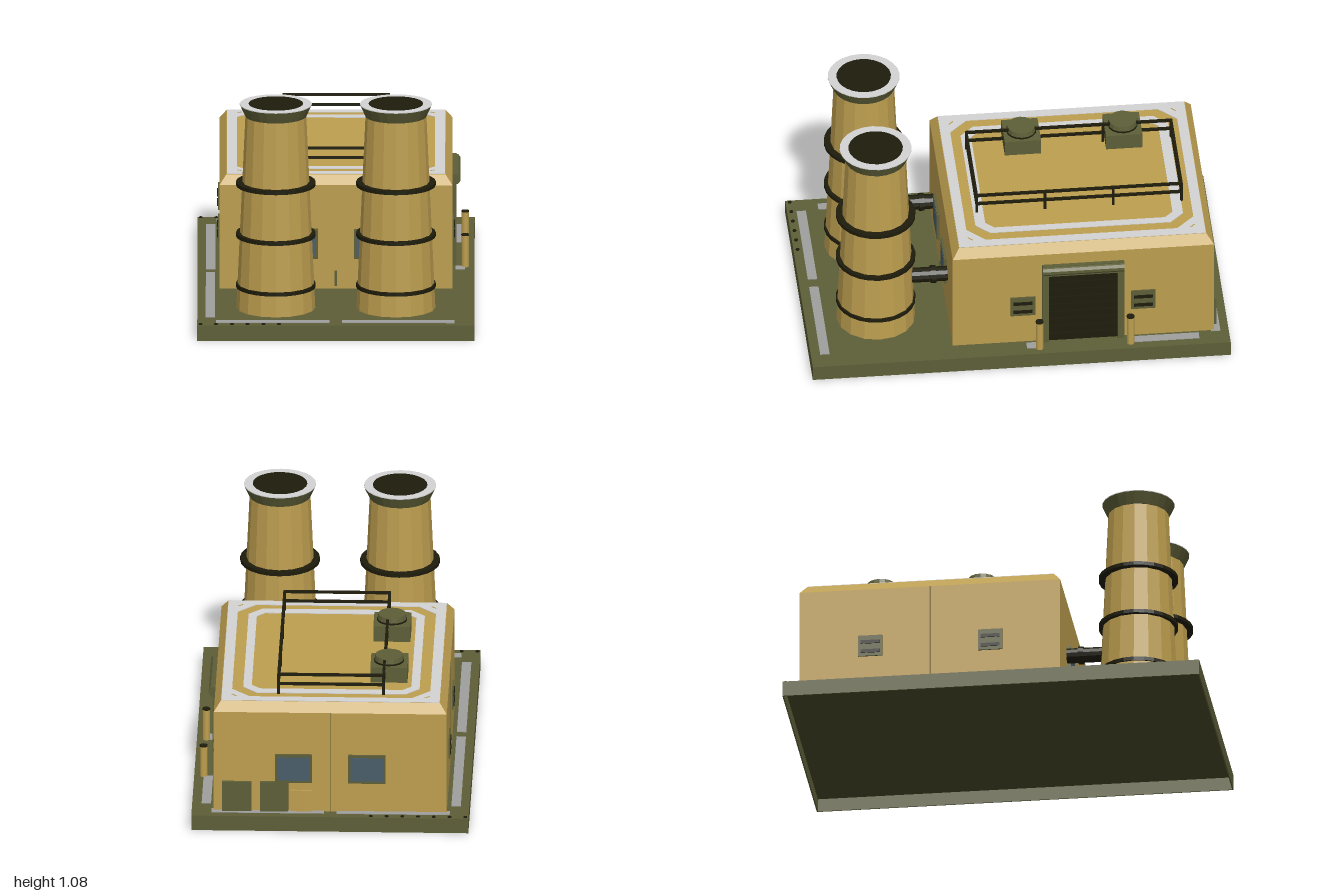
import * as THREE from 'three';

export function createModel() {
  const root = new THREE.Group();
  const mat = (name, color) => {
    const m = new THREE.MeshStandardMaterial({ color, flatShading: true });
    m.name = name;
    return m;
  };
  const tan = mat('tan wall', 0xbd9e4f);
  const olive = mat('olive metal', 0x5d5e37);
  const dark = mat('dark metal', 0x1e1c0b);
  const pale = mat('pale trim', 0xd3d3d3);
  const grey = mat('grey paint', 0x9e9e9d);
  const glass = mat('window glass', 0x4a5d69);
  const under = mat('underside', 0x484829);

  const add = (name, geo, m, x = 0, y = 0, z = 0, parent = root) => {
    const mesh = new THREE.Mesh(geo, m);
    mesh.name = name;
    mesh.position.set(x, y, z);
    parent.add(mesh);
    return mesh;
  };
  // box given by its minimum and maximum corners
  const box = (name, m, x0, x1, y0, y1, z0, z1, parent = root) =>
    add(name, new THREE.BoxGeometry(x1 - x0, y1 - y0, z1 - z0), m,
      (x0 + x1) / 2, (y0 + y1) / 2, (z0 + z1) / 2, parent);
  const cyl = (name, m, rTop, rBottom, y0, y1, x, z, sides = 16, parent = root) =>
    add(name, new THREE.CylinderGeometry(rTop, rBottom, y1 - y0, sides), m, x, (y0 + y1) / 2, z, parent);

  // Ground slab, hollow underneath
  const FLOOR = 0.075;
  box('baseSlab', olive, -0.66, 0.66, 0.068, FLOOR, -1, 1);
  box('baseUnderside', under, -0.654, 0.654, 0.064, 0.068, -0.994, 0.994);
  for (const s of [-1, 1]) {
    add('baseSideWall', new THREE.BoxGeometry(0.006, 0.068, 2), olive, s * 0.657, 0.034, 0);
    add('baseEndWall', new THREE.BoxGeometry(1.308, 0.068, 0.006), olive, 0, 0.034, s * 0.997);
  }

  // Painted ground stripes
  for (const [x0, x1, z0, z1] of [
    [-0.62, -0.575, -0.855, -0.03], [-0.62, -0.575, 0.025, 0.85],
    [-0.57, -0.03, 0.91, 0.955], [0.03, 0.565, 0.91, 0.955],
    [-0.57, -0.03, -0.96, -0.915], [0.03, 0.565, -0.96, -0.915],
    [0.57, 0.615, -0.855, -0.53], [0.57, 0.615, -0.1, -0.03],
  ]) box('groundStripe', grey, x0, x1, FLOOR, FLOOR + 0.003, z0, z1);

  // Bolts along the slab edges
  for (let i = 0; i < 7; i++) {
    const x = -0.645 + i * 0.075;
    if (i < 6) cyl('slabBolt', dark, 0.009, 0.009, FLOOR, FLOOR + 0.005, x, 0.98, 8);
    cyl('slabBolt', dark, 0.009, 0.009, FLOOR, FLOOR + 0.005, x, -0.985, 8);
  }

  // Main hall with a bevelled roof edge
  const CZ = -0.305, HX = 0.555, HZ = 0.625, ROOF = 0.63;
  box('hallWalls', tan, -HX, HX, FLOOR, 0.585, CZ - HZ, CZ + HZ);
  const bevel = new THREE.BoxGeometry(HX * 2, ROOF - 0.585, HZ * 2);
  const p = bevel.attributes.position;
  for (let i = 0; i < p.count; i++) {
    if (p.getY(i) > 0) p.setXYZ(i, p.getX(i) * 0.522 / HX, p.getY(i), p.getZ(i) * 0.592 / HZ);
  }
  bevel.computeVertexNormals();
  add('roofBevel', bevel, tan, 0, (0.585 + ROOF) / 2, CZ);

  // Roof trim rings
  const octagon = (hx, hz, c, Type) => {
    const pts = [[hx, -hz + c], [hx, hz - c], [hx - c, hz], [-hx + c, hz],
      [-hx, hz - c], [-hx, -hz + c], [-hx + c, -hz], [hx - c, -hz]];
    return new Type(pts.map(([a, b]) => new THREE.Vector2(a, b)));
  };
  const roofRing = (name, outer, inner) => {
    const shape = octagon(...outer, THREE.Shape);
    shape.holes.push(octagon(...inner, THREE.Path));
    const geo = new THREE.ExtrudeGeometry(shape, { depth: 0.003, bevelEnabled: false });
    geo.rotateX(-Math.PI / 2);
    add(name, geo, pale, 0, ROOF, CZ);
  };
  roofRing('outerRoofTrim', [0.52, 0.59, 0.001], [0.472, 0.543, 0.085]);
  roofRing('innerRoofTrim', [0.42, 0.497, 0.065], [0.38, 0.448, 0.04]);
  // Short diagonal marks in the trim corners
  for (const sx of [-1, 1]) for (const sz of [-1, 1]) {
    const mark = add('cornerMark', new THREE.BoxGeometry(0.03, 0.003, 0.005), tan,
      sx * 0.46, ROOF + 0.003, CZ + sz * 0.532);
    mark.rotation.y = sx * sz * Math.PI / 4;
  }

  // Roof railing
  const railing = new THREE.Group();
  railing.name = 'roofRailing';
  root.add(railing);
  const R = 0.006, RX = 0.25, Z0 = -0.805, Z1 = 0.175;
  for (const y of [0.682, 0.73]) {
    for (const x of [-RX, RX]) box('longRail', dark, x - R, x + R, y - R, y + R, Z0, Z1, railing);
    for (const z of [Z0, Z1]) box('endRail', dark, -RX - R, RX + R, y - R, y + R, z - R, z + R, railing);
  }
  for (const x of [-RX, RX]) for (let i = 0; i < 4; i++) {
    const z = Z0 + (Z1 - Z0) * i / 3;
    box('railPost', dark, x - R, x + R, ROOF, 0.73, z - R, z + R, railing);
  }

  // Roof ventilators
  for (const z of [-0.575, -0.09]) {
    box('ventilatorBox', olive, -0.36, -0.183, ROOF, 0.708, z - 0.087, z + 0.087);
    cyl('ventilatorNeck', dark, 0.072, 0.072, 0.708, 0.716, -0.27, z);
    cyl('ventilatorCap', olive, 0.066, 0.07, 0.716, 0.74, -0.27, z);
  }

  // Chimneys with bands, flared lip and connecting duct
  for (const s of [-1, 1]) {
    const x = s * 0.286, z = 0.662;
    const stack = new THREE.Group();
    stack.name = s > 0 ? 'leftChimney' : 'rightChimney';
    root.add(stack);
    cyl('chimneyShaft', tan, 0.145, 0.188, FLOOR, 1.02, x, z, 16, stack);
    cyl('chimneyLip', olive, 0.172, 0.147, 1.02, 1.075, x, z, 24, stack);
    cyl('chimneyRim', pale, 0.172, 0.172, 1.075, 1.079, x, z, 24, stack);
    cyl('chimneyMouth', dark, 0.13, 0.13, 1.076, 1.0805, x, z, 24, stack);
    for (const y of [0.187, 0.437, 0.687]) {
      cyl('chimneyBand', dark, 0.19, 0.19, y - 0.009, y + 0.009, x, z, 24, stack);
    }
    const duct = (name, r, z0, z1) => {
      const geo = new THREE.CylinderGeometry(r, r, z1 - z0, 12);
      geo.rotateX(Math.PI / 2);
      add(name, geo, dark, x, 0.305, (z0 + z1) / 2, stack);
    };
    duct('duct', 0.036, 0.31, 0.5);
    duct('ductFlange', 0.043, 0.375, 0.4);
  }

  // Windows on the front and back walls
  for (const s of [-1, 1]) for (const [wall, out] of [[0.32, 1], [-0.93, -1]]) {
    const x = s * 0.175;
    add('windowFrame', new THREE.BoxGeometry(0.178, 0.145, 0.016), olive, x, 0.298, wall + out * 0.004);
    add('windowGlass', new THREE.BoxGeometry(0.154, 0.121, 0.006), glass, x, 0.298, wall + out * 0.011);
  }

  // Louvred wall vents on both sides
  for (const s of [-1, 1]) for (const z of [-0.592, -0.016]) {
    add('wallVent', new THREE.BoxGeometry(0.016, 0.107, 0.117), olive, s * 0.554, 0.287, z);
    for (const y of [0.258, 0.306]) {
      add('ventSlot', new THREE.BoxGeometry(0.008, 0.017, 0.09), dark, s * 0.562, y, z);
    }
  }

  // Wall panel seams
  box('sideSeam', olive, -0.556, -0.55, FLOOR, 0.585, CZ - 0.0015, CZ + 0.0015);
  box('backSeam', olive, -0.0015, 0.0015, FLOOR, 0.585, -0.931, -0.92);
  box('frontConduit', olive, -0.006, 0.006, 0.09, 0.165, 0.31, 0.327);

  // Roller door on the left wall
  const door = new THREE.Group();
  door.name = 'rollerDoor';
  root.add(door);
  box('doorPanel', dark, 0.54, 0.559, FLOOR, 0.48, -0.475, -0.135, door);
  for (let i = 0; i < 9; i++) {
    const y = 0.09 + i * 0.043;
    box('doorSlat', dark, 0.555, 0.565, y, y + 0.03, -0.47, -0.14, door);
  }
  for (const z of [-0.14, -0.5]) box('doorJamb', olive, 0.55, 0.574, FLOOR, 0.48, z, z + 0.032, door);
  box('doorHeader', olive, 0.55, 0.574, 0.465, 0.525, -0.5, -0.108, door);
  const roller = new THREE.CylinderGeometry(0.025, 0.025, 0.39, 10);
  roller.rotateX(Math.PI / 2);
  add('doorRoller', roller, olive, 0.568, 0.498, -0.304, door);

  // Bollards beside the door
  for (const z of [-0.525, -0.09]) {
    cyl('bollard', tan, 0.018, 0.018, FLOOR, 0.23, 0.615, z, 12);
    cyl('bollardCap', dark, 0.019, 0.019, 0.229, 0.235, 0.615, z, 12);
  }

  // Utility cabinets at the back
  for (const [x0, x1] of [[0.375, 0.515], [0.2, 0.335]]) {
    box('cabinet', olive, x0, x1, FLOOR, 0.228, -0.946, -0.92);
  }
  box('meterBox', tan, 0.09, 0.19, FLOOR, 0.185, -0.941, -0.92);

  return root;
}
